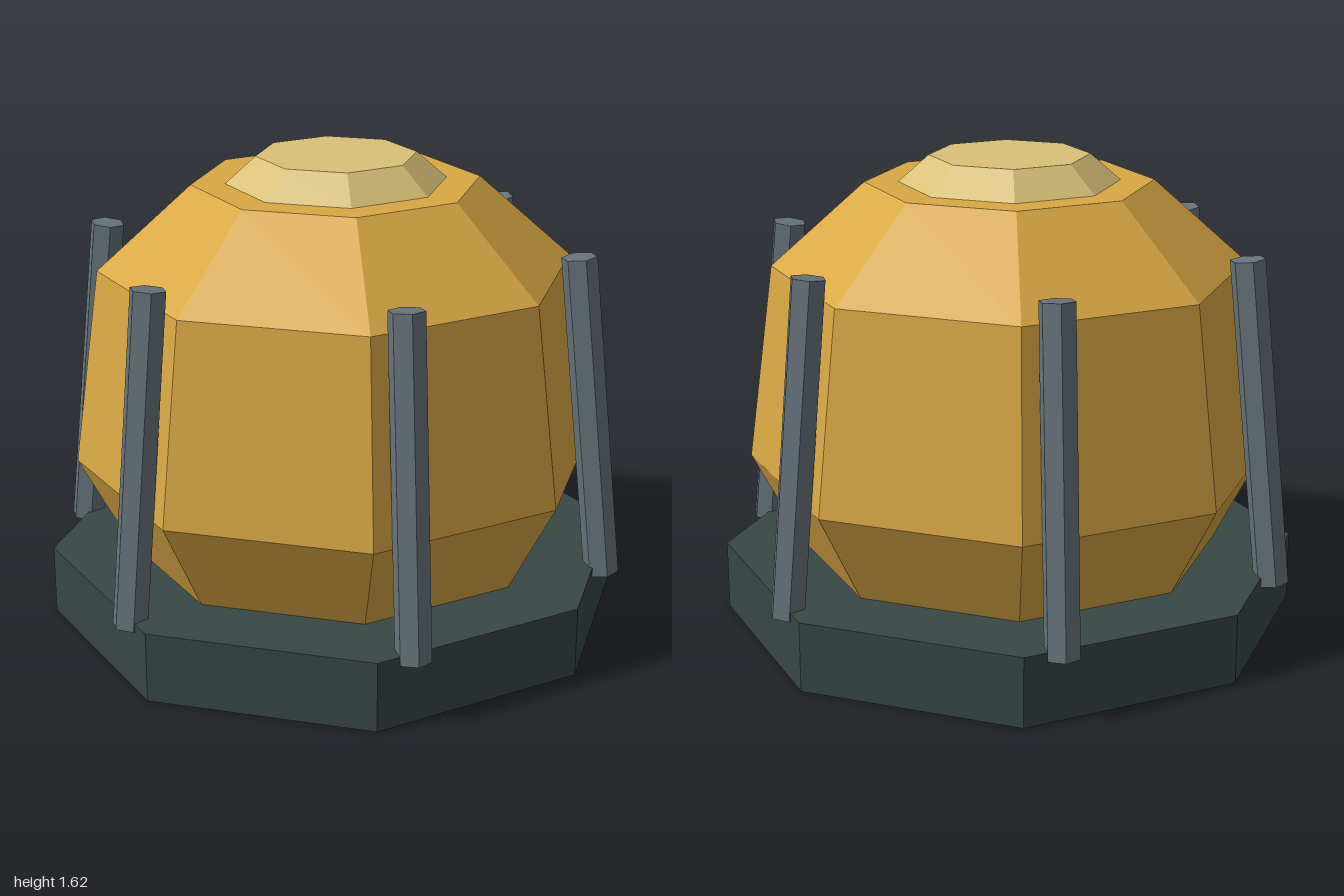
import * as THREE from 'three';

const flat = (name, color) => {
  const m = new THREE.MeshStandardMaterial({ color, flatShading: true });
  m.name = name;
  return m;
};

// Eight-sided solid from [distance to flat side, height] pairs, with a flat side facing the front
function octagonSolid(name, profile, material) {
  const points = profile.map(([a, y]) => new THREE.Vector2(a / Math.cos(Math.PI / 8), y));
  const mesh = new THREE.Mesh(new THREE.LatheGeometry(points, 8, Math.PI / 8), material);
  mesh.name = name;
  return mesh;
}

export function createModel() {
  const model = new THREE.Group();
  model.name = 'domedTank';
  const slate = flat('dark slate', 0x384745);
  const amber = flat('amber', 0xdaa845);
  const sand = flat('pale sand', 0xd9c178);
  const steel = flat('steel grey', 0x67737a);

  model.add(
    octagonSolid('base', [[0, 0], [0.92, 0], [0.92, 0.24], [0, 0.24]], slate),
    octagonSolid('body', [[0, 0.23], [0.665, 0.23], [0.83, 0.565], [0.745, 1.24], [0.45, 1.525], [0, 1.525]], amber),
    octagonSolid('cap', [[0, 1.52], [0.35, 1.52], [0.25, 1.615], [0, 1.615]], sand)
  );

  // Six hexagonal struts leaning inwards around the body
  const strutGeometry = new THREE.CylinderGeometry(0.06, 0.06, 1.12, 6).rotateY(Math.PI / 2);
  for (let i = 0; i < 6; i++) {
    const holder = new THREE.Group();
    holder.name = 'strut' + (i + 1);
    const strut = new THREE.Mesh(strutGeometry, steel);
    strut.name = 'strutBar';
    strut.position.set(0.883, 0.765, 0);
    strut.rotation.z = 0.107;
    holder.add(strut);
    holder.rotation.y = (i * Math.PI) / 3;
    model.add(holder);
  }
  return model;
}
